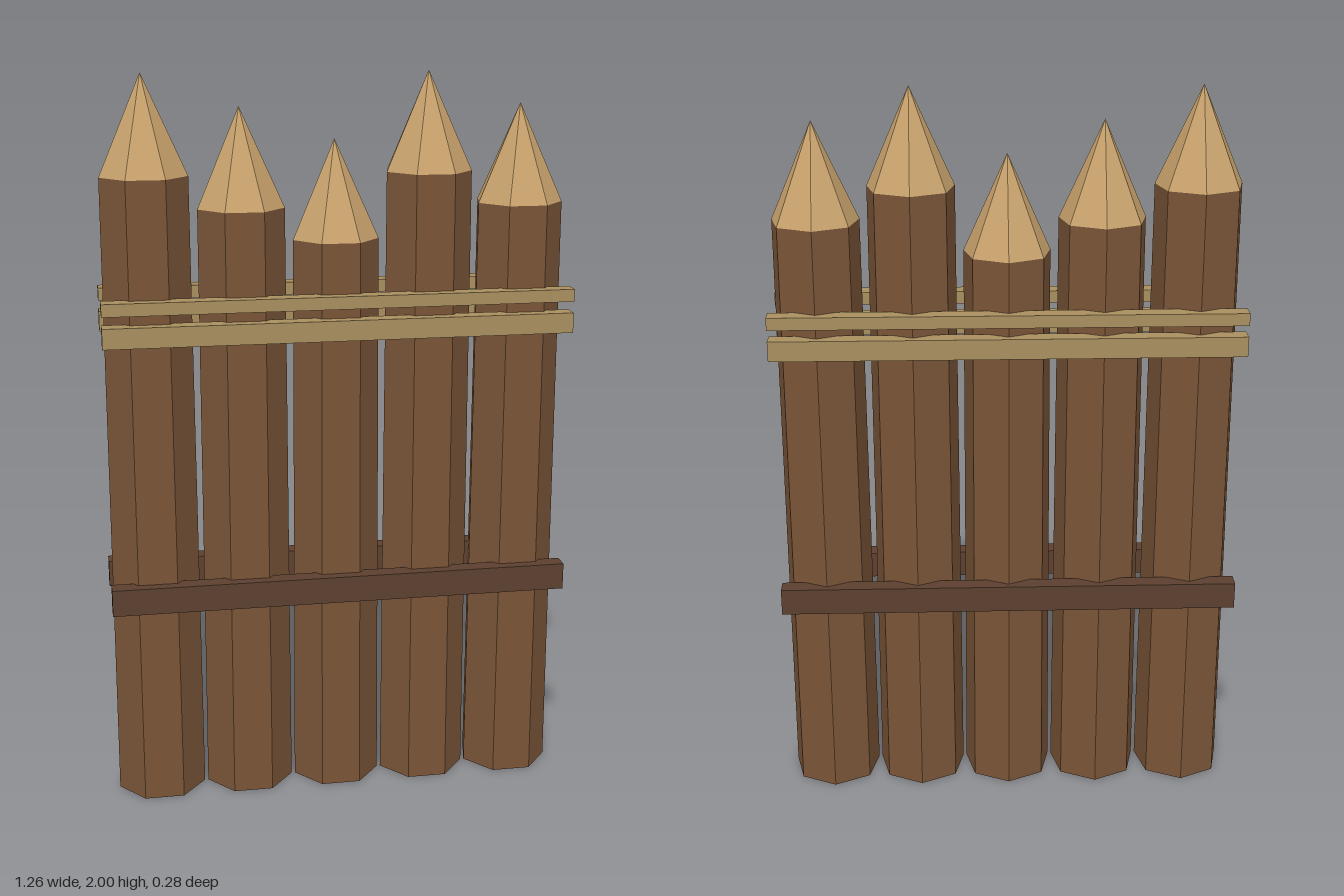
import * as THREE from 'three';

const material = (color) => new THREE.MeshStandardMaterial({ color, flatShading: true });

export function createModel() {
  const model = new THREE.Group();
  model.name = 'palisade';

  const bark = material(0x7a5538);
  const cutWood = material(0xc8a26c);
  const rope = material(0xa98f5f);
  const darkWood = material(0x5c4030);

  const add = (parent, name, geometry, mat, x, y, z) => {
    const mesh = new THREE.Mesh(geometry, mat);
    mesh.name = name;
    mesh.position.set(x, y, z);
    parent.add(mesh);
    return mesh;
  };

  // Seven-sided stakes, slightly tapered, a flat face to the front
  const spacing = 0.253;
  const tipHeight = 0.263;
  [2, 1.912, 1.825, 2, 1.912].forEach((height, i) => {
    const stake = new THREE.Group();
    stake.name = `stake${i + 1}`;
    stake.position.x = (i - 2) * spacing;
    stake.rotation.y = Math.PI;
    const trunk = height - tipHeight;
    add(stake, 'trunk', new THREE.CylinderGeometry(0.119, 0.125, trunk, 7), bark, 0, trunk / 2, 0);
    add(stake, 'sharpenedTip', new THREE.ConeGeometry(0.119, tipHeight, 7), cutWood, 0, trunk + tipHeight / 2, 0);
    model.add(stake);
  });

  // Horizontal bindings and rails, mirrored front and back
  const bars = [
    ['upperBinding', 1.41, 0.034, rope],
    ['lowerBinding', 1.335, 0.055, rope],
    ['bottomRail', 0.605, 0.074, darkWood],
  ];
  for (const [name, y, height, mat] of bars) {
    for (const side of [1, -1]) {
      add(model, name + (side > 0 ? 'Front' : 'Back'),
        new THREE.BoxGeometry(1.264, height, 0.049), mat, 0, y, side * 0.117);
    }
  }
  return model;
}
